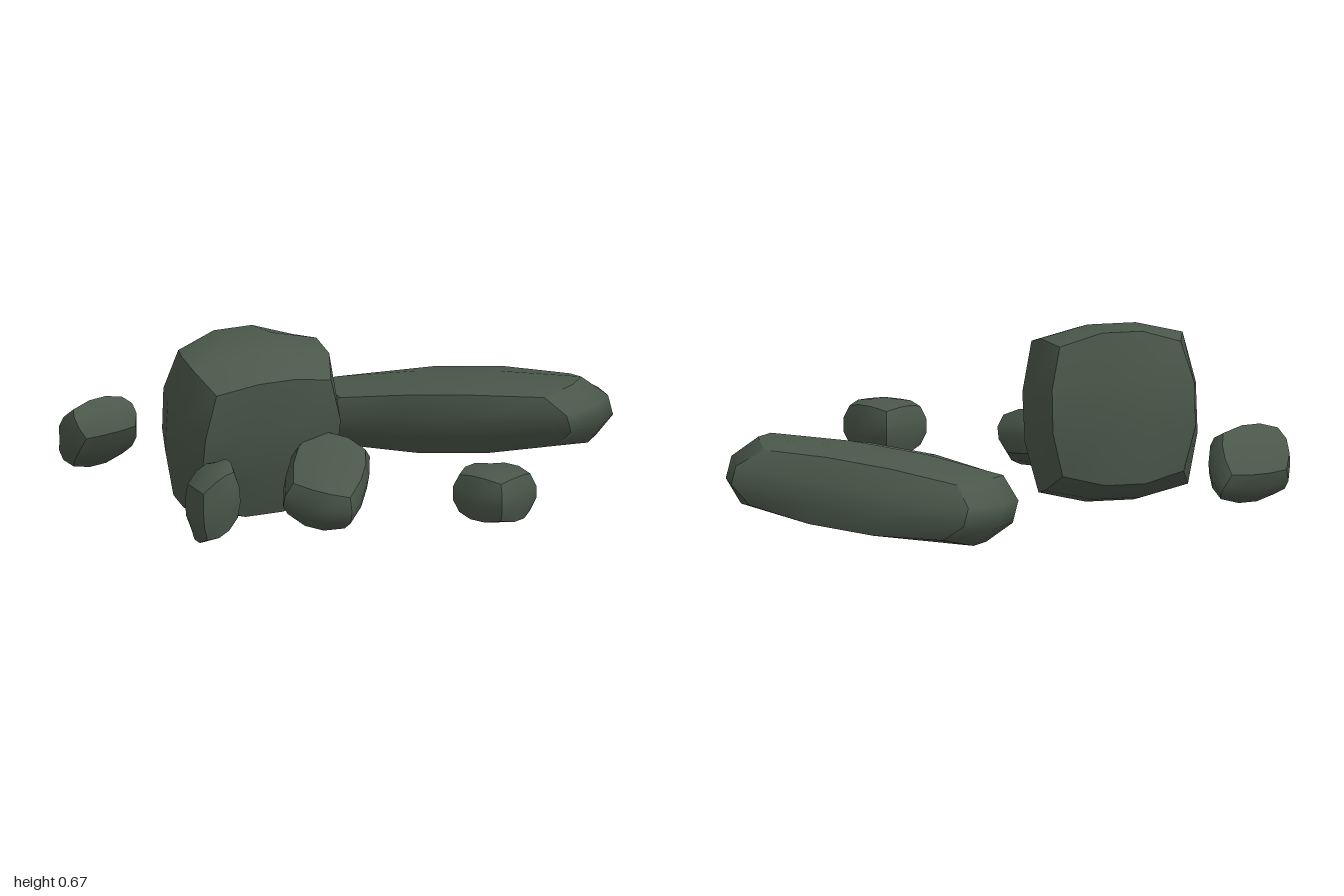
import * as THREE from 'three';

const stone = new THREE.MeshStandardMaterial({ color: 0x4a574a });
stone.name = 'mossy stone';

// A rock is a skewed block, given by its centre and three half axes,
// whose sides bulge outwards; each side is smooth, the edges stay sharp.
function makeRock({ name, centre, axes, bulge = 0.2, taper = 0 }) {
  const c = new THREE.Vector3(...centre);
  const [u, v, w] = axes.map((p) => new THREE.Vector3(...p));
  // keep the axes right-handed so that the faces point outwards
  if (new THREE.Vector3().crossVectors(u, v).dot(w) < 0) w.negate();

  const geometry = new THREE.BoxGeometry(2, 2, 2, 3, 3, 3);
  const pos = geometry.attributes.position;
  const p = new THREE.Vector3();
  for (let i = 0; i < pos.count; i++) {
    const x = pos.getX(i), y = pos.getY(i), z = pos.getZ(i);
    const fx = 1 - x * x, fy = 1 - y * y, fz = 1 - z * z;
    p.copy(c)
      .addScaledVector(u, x * (1 + bulge * (fy + fz)))
      .addScaledVector(v, y * (1 + bulge * (fx + fz)))
      .addScaledVector(w, z * (1 + bulge * (fx + fy)) * (1 + taper * y));
    pos.setXYZ(i, p.x, p.y, p.z);
  }
  geometry.computeVertexNormals();
  const mesh = new THREE.Mesh(geometry, stone);
  mesh.name = name;
  return mesh;
}

const rocks = [
  {
    name: 'boulder', centre: [-0.472, 0.348, -0.032], taper: 0.1,
    axes: [[0.228, 0, -0.005], [0, 0.23, 0.035], [0, -0.035, 0.155]],
  },
  {
    name: 'longSlab', centre: [0.525, 0.167, -0.407], bulge: 0.23,
    axes: [[0.289, 0.037, 0.258], [-0.03, 0.098, 0.012], [0.102, 0, -0.115]],
  },
  {
    name: 'leaningRock', centre: [-0.325, 0.207, 0.31],
    axes: [[0.085, 0.045, -0.125], [0, 0.065, 0.025], [-0.078, 0.015, -0.078]],
  },
  {
    name: 'frontPebble', centre: [0.165, 0.215, 0.7],
    axes: [[0.075, 0, -0.04], [0, 0.07, 0], [0.045, 0, 0.085]],
  },
  {
    name: 'uprightPebble', centre: [-0.805, 0.215, 0.38],
    axes: [[0.06, 0.035, 0], [-0.008, 0.088, 0], [0, 0, 0.07]],
  },
  {
    name: 'backPebble', centre: [-0.852, 0.222, -0.535],
    axes: [[0.112, 0, -0.035], [0, 0.068, 0.058], [0.012, -0.048, 0.032]],
  },
];

export function createModel() {
  const group = new THREE.Group();
  group.name = 'rocks';
  for (const rock of rocks) group.add(makeRock(rock));
  return group;
}
